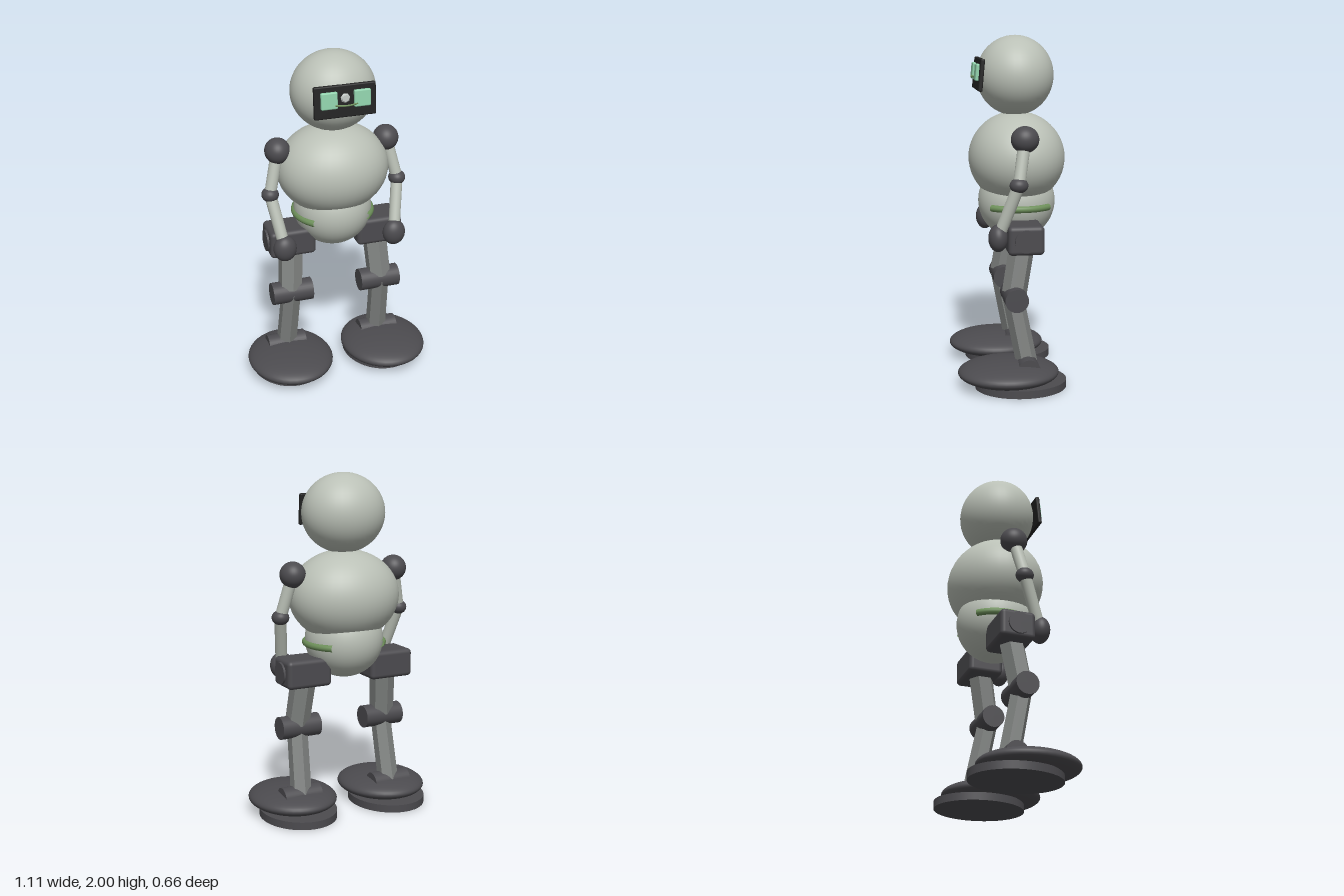
import * as THREE from 'three';
import { RoundedBoxGeometry } from 'three/addons/geometries/RoundedBoxGeometry.js';

const paint = (name, color, extra = {}) => {
  const m = new THREE.MeshStandardMaterial({ color, ...extra });
  m.name = name;
  return m;
};

export function createModel() {
  const shell = paint('shell', 0xbac0b6);
  const joint = paint('joint', 0x4c4b4f);
  const metal = paint('metal', 0x818482, { flatShading: true });
  const black = paint('visorBlack', 0x232323);
  const glow = paint('eyeGreen', 0x90d2ac);
  const trim = paint('trimGreen', 0x6d8f5a, { side: THREE.DoubleSide });
  const pale = paint('nosePale', 0xc0c6c2);

  const robot = new THREE.Group();
  robot.name = 'robot';

  const add = (parent, name, geometry, material, x = 0, y = 0, z = 0) => {
    const mesh = new THREE.Mesh(geometry, material);
    mesh.name = name;
    mesh.position.set(x, y, z);
    parent.add(mesh);
    return mesh;
  };

  const ellipsoid = (parent, name, material, c, r) =>
    add(parent, name, new THREE.SphereGeometry(1, 40, 28).scale(...r), material, ...c);

  // Straight limb between two points
  const limb = (parent, name, material, a, b, rTop, rBottom, sides) => {
    const p = new THREE.Vector3(...a), q = new THREE.Vector3(...b);
    const geometry = new THREE.CylinderGeometry(rTop, rBottom, p.distanceTo(q), sides);
    const mesh = add(parent, name, geometry, material);
    mesh.position.copy(p).add(q).multiplyScalar(0.5);
    mesh.quaternion.setFromUnitVectors(new THREE.Vector3(0, 1, 0), p.sub(q).normalize());
    return mesh;
  };

  // Round bar lying along x
  const bar = (parent, name, r, length, x, y, z) =>
    add(parent, name, new THREE.CylinderGeometry(r, r, length, 32).rotateZ(Math.PI / 2), joint, x, y, z);

  // Head and body
  ellipsoid(robot, 'head', shell, [0, 1.77, -0.04], [0.245, 0.23, 0.223]);
  ellipsoid(robot, 'torso', shell, [0, 1.295, -0.05], [0.33, 0.268, 0.28]);
  ellipsoid(robot, 'pelvis', shell, [0, 1.04, -0.05], [0.23, 0.225, 0.225]);

  // Face plate, leaning slightly forward at its lower edge
  const face = new THREE.Group();
  face.name = 'face';
  face.position.set(0, 1.78, 0.171);
  face.rotation.x = -0.09;
  robot.add(face);
  add(face, 'visor', new RoundedBoxGeometry(0.355, 0.183, 0.025, 3, 0.008), black);
  for (const s of [1, -1])
    add(face, 'eye', new RoundedBoxGeometry(0.095, 0.095, 0.024, 3, 0.008), glow, s * 0.095, 0.012, 0.019);
  add(face, 'nose', new THREE.CylinderGeometry(0.02, 0.028, 0.009, 7).rotateX(Math.PI / 2), pale, 0, 0.017, 0.017);
  const smile = new THREE.QuadraticBezierCurve3(
    new THREE.Vector3(-0.082, -0.012, 0.02),
    new THREE.Vector3(0, -0.026, 0.058),
    new THREE.Vector3(0.082, -0.012, 0.02));
  add(face, 'mouth', new THREE.TubeGeometry(smile, 24, 0.005, 8), trim);

  for (const s of [1, -1]) {
    // Curved trim hugging the waist
    const arc = 1.6;
    const belt = new THREE.TorusGeometry(0.226, 0.02, 12, 32, arc)
      .rotateZ(-arc / 2 + (s < 0 ? Math.PI : 0)).rotateX(Math.PI / 2);
    add(robot, 'waistTrim', belt, trim, 0, 1.022, -0.05);

    // Arm
    const arm = new THREE.Group();
    arm.name = s > 0 ? 'leftArm' : 'rightArm';
    robot.add(arm);
    const shoulder = [s * 0.327, 1.435, -0.052];
    const elbow = [s * 0.387, 1.188, -0.01];
    const hand = [s * 0.335, 0.884, 0.1];
    ellipsoid(arm, 'shoulder', joint, shoulder, [0.074, 0.075, 0.079]);
    limb(arm, 'upperArm', shell, shoulder, elbow, 0.036, 0.034, 24);
    ellipsoid(arm, 'elbow', joint, elbow, [0.05, 0.043, 0.052]);
    limb(arm, 'forearm', shell, elbow, hand, 0.035, 0.034, 24);
    ellipsoid(arm, 'hand', joint, hand, [0.068, 0.078, 0.055]);

    // Leg
    const leg = new THREE.Group();
    leg.name = s > 0 ? 'leftLeg' : 'rightLeg';
    robot.add(leg);
    add(leg, 'hipBlock', new RoundedBoxGeometry(0.275, 0.165, 0.205, 4, 0.025), joint, s * 0.267, 0.874, -0.053);
    bar(leg, 'hipDisc', 0.064, 0.04, s * 0.396, 0.874, -0.05);
    limb(leg, 'thigh', metal, [s * 0.26, 0.85, -0.05], [s * 0.282, 0.555, 0], 0.074, 0.072, 6);
    bar(leg, 'knee', 0.067, 0.245, s * 0.275, 0.531, 0);
    limb(leg, 'shin', metal, [s * 0.28, 0.54, 0.01], [s * 0.294, 0.13, -0.072], 0.06, 0.062, 6);
    bar(leg, 'ankle', 0.065, 0.235, s * 0.298, 0.124, -0.068);
    ellipsoid(leg, 'foot', joint, [s * 0.3, 0.091, 0.037], [0.257, 0.072, 0.291]);
    add(leg, 'sole', new THREE.CylinderGeometry(1, 1, 0.045, 48).scale(0.222, 1, 0.264),
      joint, s * 0.298, 0.0225, -0.035);
  }
  return robot;
}
